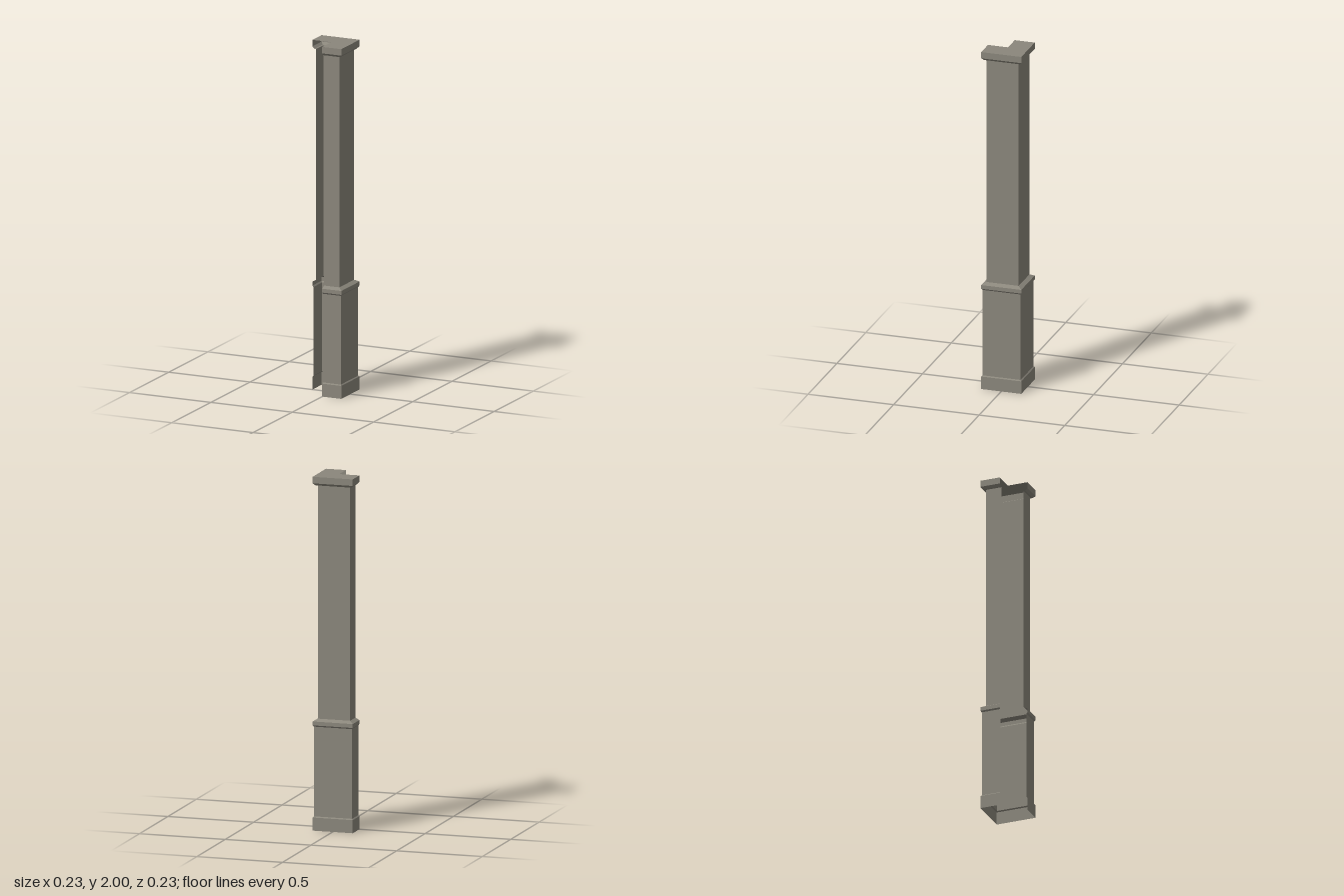
import * as THREE from 'three';

// Corner outline at half-width d; the front quadrant at -x stays open
const outline = (d) => [[-d, 0], [-d, -d], [d, -d], [d, d], [0, d]];

// Walls following the outline through a profile of [half-width, height] points
function wrap(name, profile, material) {
  const pos = [];
  for (let j = 0; j < profile.length - 1; j++) {
    const [d0, y0] = profile[j];
    const [d1, y1] = profile[j + 1];
    const lo = outline(d0).map(([x, z]) => [x, y0, z]);
    const hi = outline(d1).map(([x, z]) => [x, y1, z]);
    for (let i = 0; i < lo.length - 1; i++) {
      pos.push(...lo[i], ...hi[i], ...lo[i + 1]);
      pos.push(...lo[i + 1], ...hi[i], ...hi[i + 1]);
    }
  }
  const geometry = new THREE.BufferGeometry();
  geometry.setAttribute('position', new THREE.Float32BufferAttribute(pos, 3));
  geometry.computeVertexNormals();
  const mesh = new THREE.Mesh(geometry, material);
  mesh.name = name;
  return mesh;
}

export function createModel() {
  const stone = new THREE.MeshStandardMaterial({ color: 0x8b877c });
  stone.name = 'warm grey stone';
  stone.side = THREE.DoubleSide;
  stone.flatShading = true;

  const group = new THREE.Group();
  group.name = 'cornerColumn';
  const wide = 0.117, lower = 0.111, upper = 0.094;

  group.add(
    wrap('plinth', [[wide, 0], [wide, 0.074], [lower, 0.08]], stone),
    wrap('lowerShaft', [[lower, 0.08], [lower, 0.587]], stone),
    wrap('beltMoulding', [[lower, 0.587], [wide, 0.595], [wide, 0.617], [upper, 0.63]], stone),
    wrap('upperShaft', [[upper, 0.63], [upper, 1.95]], stone),
    wrap('capital', [[upper, 1.95], [0.104, 1.95], [wide, 1.963], [wide, 2]], stone),
  );

  // L-shaped lid closing the capital
  const corners = [...outline(wide), [0, 0]].map(([x, z]) => new THREE.Vector2(x, -z));
  const lid = new THREE.Mesh(new THREE.ShapeGeometry(new THREE.Shape(corners)), stone);
  lid.name = 'capitalTop';
  lid.rotation.x = -Math.PI / 2;
  lid.position.y = 2;
  group.add(lid);

  return group;
}
